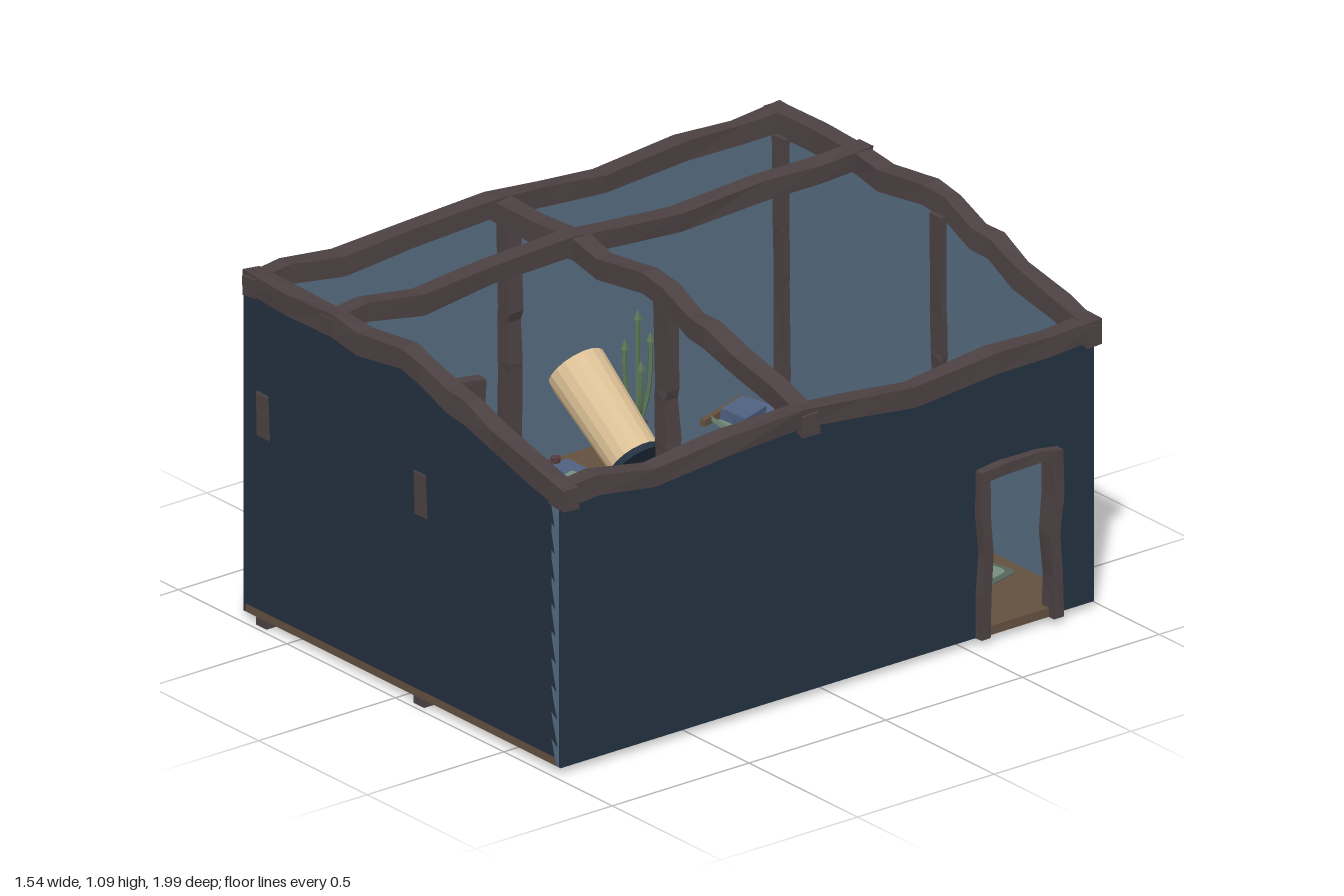
import * as THREE from 'three';

const mat = (name, hex) => {
  const m = new THREE.MeshStandardMaterial({ color: hex });
  m.name = name;
  m.flatShading = true;
  return m;
};

export function createModel() {
  const navy = mat('outer wall navy', 0x233140), blue = mat('inner wall blue', 0x566b80);
  const beamMat = mat('dark timber', 0x4c4143), wood = mat('floor wood', 0x635040);
  const sage = mat('sage', 0x758f7d), moss = mat('moss', 0x55645a);
  const tan = mat('tan', 0xdcc096), red = mat('red wood', 0x553b3e);
  const bedding = mat('bedding blue', 0x4f6080), leaf = mat('leaf green', 0x5b7556);

  const root = new THREE.Group();
  const add = (name, geo, material, pos = [0, 0, 0], rot = [0, 0, 0], parent = root) => {
    const m = new THREE.Mesh(geo, material);
    m.name = name;
    m.position.set(...pos);
    m.rotation.set(...rot);
    parent.add(m);
    return m;
  };
  const box = (name, w, h, d, material, pos, rot, parent) =>
    add(name, new THREE.BoxGeometry(w, h, d), material, pos, rot, parent);
  const hash = (a, b) => { const s = Math.sin(a * 12.99 + b * 78.23) * 43758.5; return s - Math.floor(s) - 0.5; };

  // Rough-hewn timber: a box section carried along a path on one main axis
  let seed = 0;
  const timber = (name, axis, pts, w, h, rough = 0.008, material = beamMat) => {
    const n = pts.length - 1, s = ++seed;
    const g = new THREE.BoxGeometry(1, 1, 1, n, 1, 1), p = g.attributes.position;
    for (let i = 0; i < p.count; i++) {
      const k = Math.round((p.getX(i) + 0.5) * n), a = Math.sign(p.getY(i)), b = Math.sign(p.getZ(i));
      const id = k * 4 + a + b * 0.5 + s * 31;
      const u = a * h / 2 + hash(id, 1) * rough, v = b * w / 2 + hash(id, 2) * rough;
      const [x, y, z] = pts[k];
      if (axis === 'x') p.setXYZ(i, x, y + u, z + v);
      else if (axis === 'z') p.setXYZ(i, x - v, y + u, z);
      else p.setXYZ(i, x - u, y, z + v);
    }
    g.computeVertexNormals();
    return add(name, g, material);
  };

  // Floor
  box('floor', 1.45, 0.025, 1.95, wood, [0.003, 0.0325, 0]);

  // Walls: thin outer skin over a thicker inner lining
  const poly = pts => new THREE.Shape(pts.map(p => new THREE.Vector2(...p)));
  const wall = (name, shape, material, depth, pos, ry) =>
    add(name, new THREE.ExtrudeGeometry(shape, { depth, bevelEnabled: false }), material, pos, [0, ry, 0]);
  const gable = poly([[-0.728, 0.045], [0.728, 0.045], [0.728, 0.85], [0.42, 0.93], [0.28, 0.97], [0.1, 1.02], [-0.728, 1.03]]);
  wall('frontWallOuter', gable, navy, 0.008, [0, 0, 0.967], 0);
  wall('frontWallInner', gable, blue, 0.035, [0, 0, 0.932], 0);
  wall('backWallOuter', gable, navy, 0.008, [0, 0, -0.975], 0);
  wall('backWallInner', gable, blue, 0.035, [0, 0, -0.967], 0);
  // Side walls are drawn with u = -z
  const side = (top, hole) => {
    const s = poly([[-0.975, 0.02], [0.975, 0.02], [0.975, top], [-0.975, top]]);
    s.holes.push(new THREE.Path(hole.map(p => new THREE.Vector2(...p))));
    return s;
  };
  const leftDoor = [[-0.43, 0.045], [-0.18, 0.045], [-0.18, 0.53], [-0.43, 0.53]];
  const rightDoor = [[0.56, 0.046], [0.82, 0.046], [0.82, 0.51], [0.78, 0.53], [0.6, 0.53], [0.56, 0.51]];
  const high = side(1.03, leftDoor), low = side(0.86, rightDoor);
  wall('tallWallOuter', high, navy, 0.008, [-0.731, 0, 0], Math.PI / 2);
  wall('tallWallInner', high, blue, 0.035, [-0.723, 0, 0], Math.PI / 2);
  wall('lowWallOuter', low, navy, 0.008, [0.723, 0, 0], Math.PI / 2);
  wall('lowWallInner', low, blue, 0.035, [0.688, 0, 0], Math.PI / 2);

  // Roof beams
  const profile = [[-0.73, 1.05], [-0.52, 1.048], [-0.31, 1.05], [-0.2, 1.03], [0.01, 1.056], [0.1, 1.038],
    [0.22, 0.99], [0.3, 0.985], [0.42, 0.938], [0.6, 0.9], [0.76, 0.86]];
  for (const z of [0.955, 0.075, -0.955])
    timber('rafter', 'x', profile.map(([x, y], i) => [x, y, z + hash(i, z) * 0.012]), 0.06, 0.066);
  const wave = [[0.99, 0], [0.85, 0.01], [0.65, -0.018], [0.4, 0.005], [0.1, 0.015], [-0.1, 0],
    [-0.3, -0.018], [-0.6, 0.008], [-0.8, 0.004], [-0.985, 0.012]];
  for (const [x, y] of [[-0.697, 1.045], [-0.337, 1.045], [0.725, 0.865]])
    timber('purlin', 'z', wave.slice().reverse().map(([z, d], i) => [x + hash(i, x) * 0.016, y + d, z]), 0.06, 0.06);

  // Posts on the end walls and under the middle rafter
  const postY = [0, 0.3, 0.57, 0.59, 0.72, 0.75, 1.02];
  for (const x of [-0.64, 0.085]) {
    timber('frontPost', 'y', postY.map((y, i) => [x + hash(i, 3) * 0.012, y, i === 3 || i === 4 ? 0.955 : 0.938]), 0.05, 0.052, 0.006);
    timber('backPost', 'y', postY.map((y, i) => [x + hash(i, 4) * 0.012, y, -0.936]), 0.05, 0.052, 0.006);
    timber('middlePost', 'y', postY.map((y, i) => [x + hash(i, 5) * 0.012, Math.max(y, 0.04), 0.075]), 0.05, 0.052, 0.006);
  }
  for (const x of [-0.64, 0.085]) for (const z of [0.958, -0.952]) box('postFoot', 0.048, 0.024, 0.048, beamMat, [x, 0.012, z]);

  // Doorway in the low wall
  for (const [z, s] of [[-0.558, 1], [-0.822, -1]])
    timber('doorJamb', 'y', [0.02, 0.15, 0.28, 0.4, 0.54].map((y, i) =>
      [0.732 + hash(i, s) * 0.01, y, z - s * (i === 2 ? 0.012 : 0)]), 0.034, 0.056, 0.006);
  timber('doorLintel', 'z', [[-0.83, 0.525], [-0.76, 0.535], [-0.62, 0.535], [-0.545, 0.528]].map(([z, y]) => [0.733, y, z]), 0.058, 0.034, 0.005);
  box('doorSill', 0.05, 0.028, 0.26, wood, [0.715, 0.034, -0.69]);

  // Closed door in the tall wall, framed inside
  box('door', 0.014, 0.485, 0.25, red, [-0.692, 0.288, 0.305]);
  for (const z of [0.175, 0.46])
    timber('innerDoorJamb', 'y', [0.045, 0.2, 0.4, 0.55].map((y, i) => [-0.665 + hash(i, z) * 0.02, y, z]), 0.03, 0.04);
  timber('innerDoorLintel', 'z', [0.16, 0.3, 0.475].map((z, i) => [-0.66, 0.54 + (i % 2) * 0.012, z]), 0.04, 0.035);

  // Window hood on the tall wall
  wall('windowHood', poly([[-0.729, 0.49], [-0.769, 0.345], [-0.729, 0.3]]), tan, 0.17, [0, 0, -0.29], 0);
  box('hoodCover', 0.006, 0.155, 0.176, navy, [-0.751, 0.42, -0.205], [0, 0, -0.27]);

  // Rectangular rug with a darker border
  const rugShape = (w, d, r) => {
    const s = new THREE.Shape(), x = w / 2, y = d / 2;
    s.moveTo(-x + r, -y).lineTo(x - r, -y).quadraticCurveTo(x, -y, x, -y + r).lineTo(x, y - r);
    s.quadraticCurveTo(x, y, x - r, y).lineTo(-x + r, y).quadraticCurveTo(-x, y, -x, y - r);
    s.lineTo(-x, -y + r).quadraticCurveTo(-x, -y, -x + r, -y);
    return s;
  };
  const rug = new THREE.Group();
  rug.name = 'rug';
  rug.position.set(0.135, 0.045, -0.47);
  rug.rotation.y = 0.245;
  root.add(rug);
  [[0.87, 0.67, moss, 0.004], [0.83, 0.63, sage, 0.007]].forEach(([w, d, m, h], i) =>
    add(i ? 'rugField' : 'rugBorder', new THREE.ExtrudeGeometry(rugShape(w, d, 0.03), { depth: h, bevelEnabled: false, curveSegments: 4 }),
      m, [0, 0, 0], [-Math.PI / 2, 0, 0], rug));
  // Round rug
  add('roundRugBorder', new THREE.CylinderGeometry(0.43, 0.43, 0.006, 28), sage, [-0.05, 0.052, 0.42]);
  add('roundRugField', new THREE.CylinderGeometry(0.408, 0.408, 0.008, 28), moss, [-0.05, 0.054, 0.42]);

  // Hammock bed slung between two spreader bars
  const bed = new THREE.Group();
  bed.name = 'hammock';
  bed.position.set(-0.32, 0.24, -0.74);
  bed.rotation.y = 0.32;
  root.add(bed);
  const sling = (name, len, half, lift, m) => {
    const g = new THREE.BoxGeometry(len, 0.016, 2, 10, 1, 6), p = g.attributes.position;
    for (let i = 0; i < p.count; i++) {
      const t = p.getX(i) / (len / 2), s = p.getZ(i);
      p.setXYZ(i, p.getX(i), p.getY(i) + lift + 0.035 * s * s - 0.03 * (1 - t * t), s * half * (1 - 0.38 * t * t));
    }
    g.computeVertexNormals();
    add(name, g, m, [0, 0, 0], [0, 0, 0], bed);
  };
  sling('hammockCloth', 0.53, 0.115, -0.012, sage);
  sling('blanket', 0.44, 0.09, 0.01, bedding);
  box('pillow', 0.085, 0.035, 0.11, bedding, [-0.2, 0.03, 0], [0, 0, -0.15], bed);
  for (const s of [-1, 1]) box('spreaderBar', 0.018, 0.02, 0.21, wood, [s * 0.27, 0.018, 0], [0, 0, 0], bed);
  box('tallWallHook', 0.05, 0.025, 0.025, wood, [-0.665, 0.49, -0.65]);
  box('backWallHook', 0.025, 0.025, 0.05, wood, [0.18, 0.5, -0.91]);

  // Desk with a large tilted horn, books and a plant
  box('deskTop', 0.21, 0.02, 0.43, wood, [-0.555, 0.22, -0.2]);
  for (const x of [-0.64, -0.47]) for (const z of [-0.39, -0.01]) box('deskLeg', 0.02, 0.17, 0.02, wood, [x, 0.13, z]);
  const horn = new THREE.Group();
  horn.name = 'horn';
  horn.position.set(-0.535, 0.385, -0.195);
  horn.rotation.z = 0.95;
  root.add(horn);
  add('hornBody', new THREE.CylinderGeometry(0.092, 0.08, 0.34, 18), tan, [0, 0, 0], [0, 0, 0], horn);
  add('hornCollar', new THREE.CylinderGeometry(0.085, 0.085, 0.02, 18), navy, [0, -0.175, 0], [0, 0, 0], horn);
  box('openBook', 0.055, 0.012, 0.05, tan, [-0.5, 0.237, -0.35], [0, 0.4, 0]);
  box('blueBook', 0.13, 0.02, 0.06, bedding, [-0.55, 0.24, -0.31], [0, 0.1, 0]);
  box('blueFolder', 0.1, 0.012, 0.09, bedding, [-0.56, 0.237, -0.07]);
  box('greenBook', 0.06, 0.018, 0.04, sage, [-0.49, 0.24, -0.05], [0, 0.3, 0]);
  for (const [x, z] of [[-0.61, -0.07], [-0.6, -0.03]]) add('redPot', new THREE.CylinderGeometry(0.015, 0.012, 0.03, 8), red, [x, 0.245, z]);
  add('plantPot', new THREE.CylinderGeometry(0.028, 0.022, 0.06, 10), red, [-0.61, 0.26, -0.37]);
  [[0, 0.34, 0], [0.04, 0.2, 0.02], [-0.035, 0.24, 0.02], [0.02, 0.27, -0.03]].forEach(([dx, h, dz]) => {
    const c = new THREE.QuadraticBezierCurve3(new THREE.Vector3(0, 0, 0), new THREE.Vector3(dx * 1.2, h * 0.3, dz * 1.2), new THREE.Vector3(dx, h, dz));
    add('plantStem', new THREE.TubeGeometry(c, 6, 0.008, 5), leaf, [-0.61, 0.28, -0.37]);
    add('plantTip', new THREE.ConeGeometry(0.014, 0.03, 5), leaf, [-0.61 + dx, 0.285 + h, -0.37 + dz]);
  });

  // Bench by the tall wall
  box('benchSeat', 0.09, 0.025, 0.3, beamMat, [-0.605, 0.2, 0.715]);
  box('benchCushion', 0.04, 0.03, 0.19, beamMat, [-0.55, 0.15, 0.69]);
  for (const z of [0.585, 0.845]) box('benchLeg', 0.08, 0.145, 0.025, beamMat, [-0.605, 0.117, z]);

  // Dresser with a stepped front, and a framed mirror above
  box('dresserBody', 0.31, 0.19, 0.11, wood, [0.325, 0.14, 0.865]);
  box('dresserStep', 0.31, 0.13, 0.06, wood, [0.325, 0.11, 0.785]);
  box('mirrorGlass', 0.28, 0.22, 0.008, blue, [0.35, 0.43, 0.925]);
  for (const s of [-1, 1]) {
    box('mirrorSide', 0.018, 0.24, 0.018, tan, [0.35 + s * 0.14, 0.43, 0.922]);
    box('mirrorRail', 0.3, 0.018, 0.018, tan, [0.35, 0.43 + s * 0.11, 0.922]);
  }

  // Stool with a domed cushion and tan fringe
  add('stoolBase', new THREE.CylinderGeometry(0.06, 0.07, 0.09, 16), wood, [-0.005, 0.095, 0.835]);
  add('stoolFringe', new THREE.CylinderGeometry(0.086, 0.08, 0.02, 16), tan, [-0.005, 0.148, 0.835]);
  const cushion = add('stoolCushion', new THREE.SphereGeometry(0.074, 16, 6, 0, Math.PI * 2, 0, Math.PI / 2), bedding, [-0.005, 0.157, 0.835]);
  cushion.scale.y = 0.5;
  for (let i = -2; i <= 2; i++)
    box('stitch', 0.014, 0.004, 0.005, tan, [-0.005 + i * 0.024, 0.196 - i * i * 0.0045, 0.835 - i * 0.008], [0, 0.32, -i * 0.2]);

  return root;
}
